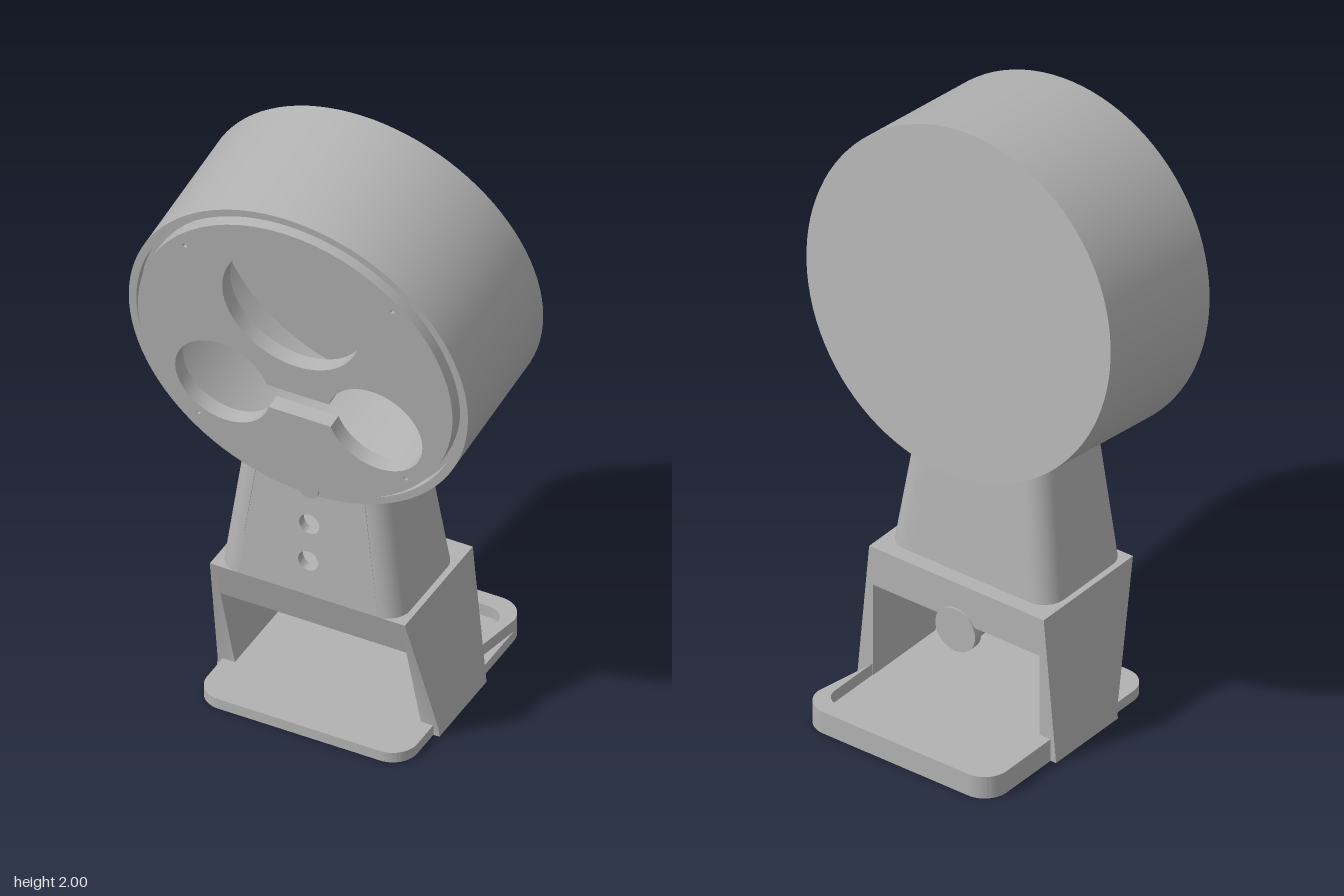
import * as THREE from 'three';
import { toCreasedNormals } from 'three/addons/utils/BufferGeometryUtils.js';

const grey = new THREE.MeshStandardMaterial({ color: 0xb2b2b2, side: THREE.DoubleSide });
grey.name = 'plain grey';

const TILT = 0.126, R = 0.555, DEPTH = 0.475;

function add(parent, name, geometry, x = 0, y = 0, z = 0) {
  const mesh = new THREE.Mesh(geometry, grey);
  mesh.name = name;
  mesh.position.set(x, y, z);
  parent.add(mesh);
  return mesh;
}

function extrude(shape, depth) {
  const g = new THREE.ExtrudeGeometry(shape, { depth, bevelEnabled: false, curveSegments: 32 });
  return toCreasedNormals(g, 0.5);
}

function circlePath(x, y, r) {
  return new THREE.Path().absarc(x, y, r, 0, Math.PI * 2, true);
}

// Move every vertex by a rule
function warp(g, rule) {
  const p = g.attributes.position, v = new THREE.Vector3();
  for (let i = 0; i < p.count; i++) {
    rule(v.fromBufferAttribute(p, i));
    p.setXYZ(i, v.x, v.y, v.z);
  }
  return toCreasedNormals(g, 0.5);
}

// Rounded rectangle drawn in x and -z
function roundedRect(hw, z0, z1, r) {
  const s = new THREE.Shape(), P = Math.PI;
  s.absarc(hw - r, -z0 - r, r, 0, P / 2);
  s.absarc(-hw + r, -z0 - r, r, P / 2, P);
  s.absarc(-hw + r, -z1 + r, r, P, P * 1.5);
  s.absarc(hw - r, -z1 + r, r, P * 1.5, P * 2);
  s.closePath();
  return s;
}

const flat = (shape, height) => extrude(shape, height).rotateX(-Math.PI / 2);

// Underside of the tilted drum above a point
function drumUnderside(x, z) {
  return 1.45 - 0.127 * (z + 0.13) - 0.559 * Math.sqrt(1 - (x / R) ** 2);
}

function buildHead() {
  const head = new THREE.Group();
  head.name = 'head';
  head.position.set(0, 1.45, -0.13);
  head.rotation.x = TILT;

  // Hollow drum with a ledge for the face plate
  const profile = [[0, 0], [R, 0], [R, DEPTH], [0.53, DEPTH], [0.53, DEPTH - 0.03],
    [0.5, DEPTH - 0.03], [0.5, 0.03], [0, 0.03]].map(p => new THREE.Vector2(...p));
  const drum = toCreasedNormals(new THREE.LatheGeometry(profile, 96), 0.5);
  add(head, 'drum', drum.rotateX(Math.PI / 2));

  // Face plate with a round opening, a dumbbell opening and screw holes
  const face = new THREE.Shape().absarc(0, 0, 0.515, 0, Math.PI * 2);
  face.holes.push(circlePath(0, 0.205, 0.225));
  const a = Math.asin(0.045 / 0.155), slot = new THREE.Path();
  slot.absarc(-0.25, -0.18, 0.155, a, Math.PI * 2 - a);
  slot.absarc(0.25, -0.18, 0.155, Math.PI + a, Math.PI * 3 - a);
  slot.closePath();
  face.holes.push(slot);
  for (const x of [-0.34, 0.34])
    for (const y of [-0.34, 0.335]) face.holes.push(circlePath(x, y, 0.007));
  add(head, 'facePlate', extrude(face, 0.05), 0, 0, DEPTH - 0.03);

  // Small port on the lower rim
  const port = new THREE.CylinderGeometry(0.033, 0.033, 0.008, 24).rotateX(Math.PI / 2);
  add(head, 'rimPort', port, 0, -0.532, DEPTH + 0.003);
  return head;
}

function buildNeck() {
  const neck = new THREE.Group();
  neck.name = 'neck';
  const r = 0.07, y0 = 0.48;
  const taper = y => {
    const t = (y - y0) / 0.42;
    return { hw: 0.3 - 0.055 * t, zf: 0.285 - 0.02 * t, zb: -0.09 + 0.04 * t };
  };

  // Section with rounded corners, open across the flat front
  const section = [];
  for (const [sx, front, start] of [[1, 1, 90], [1, 0, 0], [-1, 0, -90], [-1, 1, -180]])
    for (let i = 0; i <= 8; i++) {
      const a = (start - i * 11.25) * Math.PI / 180;
      section.push([sx, front, Math.cos(a) * r, Math.sin(a) * r]);
    }
  // Subdivide the long back edge so its top follows the drum
  const point = ([sx, front, dx, dz], y) => {
    const { hw, zf, zb } = taper(y);
    return [sx * (hw - r) + dx, y, (front ? zf - r : zb + r) + dz];
  };
  const back = section[17];
  const edge = [];
  for (let i = 1; i < 12; i++) edge.push([1 - i / 6, 0, back[2], back[3]]);
  section.splice(18, 0, ...edge);

  const pos = [], index = [];
  section.forEach((s, i) => {
    const top = point(s, 0.9);
    pos.push(...point(s, y0), ...point(s, drumUnderside(top[0], top[2]) + 0.012));
    if (i) {
      const k = i * 2;
      index.push(k - 2, k - 1, k, k, k - 1, k + 1);
    }
  });
  // Keep the outside as the front of each face
  for (let i = 0; i < index.length; i += 3) [index[i + 1], index[i + 2]] = [index[i + 2], index[i + 1]];
  const g = new THREE.BufferGeometry();
  g.setAttribute('position', new THREE.Float32BufferAttribute(pos, 3));
  g.setIndex(index);
  add(neck, 'neckShell', toCreasedNormals(g, 0.5));

  // Front panel with two round holes
  const panel = new THREE.Shape();
  panel.moveTo(-0.23, y0);
  panel.lineTo(0.23, y0);
  for (let i = 6; i >= -6; i--) {
    const x = 0.176 * i / 6;
    panel.lineTo(x, drumUnderside(x, 0.265) + 0.012);
  }
  panel.closePath();
  for (const y of [0.6, 0.73]) panel.holes.push(circlePath(0, y, 0.033));
  add(neck, 'neckFront', warp(extrude(panel, 0.03), v => { v.z += taper(v.y).zf - 0.03; }));
  return neck;
}

function buildBracket() {
  const bracket = new THREE.Group();
  bracket.name = 'bracket';
  // Side profile as [z, y] pairs, extruded across x
  const across = (pts, rule) => {
    const s = new THREE.Shape(pts.map(p => new THREE.Vector2(...p)));
    return warp(extrude(s, 1).rotateY(-Math.PI / 2), rule);
  };
  const leg = across([[-0.14, 0], [0.155, 0], [0.155, 0.03], [0.285, 0.48], [-0.14, 0.48]],
    v => { v.x = v.x < -0.5 ? -(0.365 - 0.094 * v.y) : -0.305; });
  add(bracket, 'rightLeg', leg);
  add(bracket, 'leftLeg', leg).scale.x = -1;
  add(bracket, 'crossBeam', across([[-0.14, 0.35], [0.247, 0.35], [0.285, 0.48], [-0.14, 0.48]],
    v => { v.x = v.x < -0.5 ? -0.305 : 0.305; }));

  // Knob on a short stem below the beam
  const round = (r, h) => new THREE.CylinderGeometry(r, r, h, 40).rotateX(Math.PI / 2);
  add(bracket, 'knobStem', round(0.058, 0.06), 0, 0.32, -0.09);
  add(bracket, 'knobDisc', round(0.073, 0.03), 0, 0.32, -0.131);
  return bracket;
}

function buildBase() {
  const base = new THREE.Group();
  base.name = 'base';
  // Outer frame around a floor that is recessed underneath
  const frame = roundedRect(0.345, -0.43, 0.335, 0.08);
  frame.holes.push(roundedRect(0.305, -0.39, 0.295, 0.05));
  add(base, 'baseFrame', flat(frame, 0.035));
  add(base, 'baseFloor', flat(roundedRect(0.305, -0.39, 0.295, 0.05), 0.023), 0, 0.012, 0);

  // Raised U-shaped rim at the back
  const rim = new THREE.Shape(), P = Math.PI;
  rim.moveTo(0.345, 0.14);
  rim.absarc(0.265, 0.35, 0.08, 0, P / 2);
  rim.absarc(-0.265, 0.35, 0.08, P / 2, P);
  rim.lineTo(-0.345, 0.14);
  rim.lineTo(-0.307, 0.14);
  rim.absarc(-0.252, 0.32, 0.055, P, P / 2, true);
  rim.absarc(0.252, 0.32, 0.055, P / 2, 0, true);
  rim.lineTo(0.307, 0.14);
  rim.closePath();
  add(base, 'backRim', flat(rim, 0.04), 0, 0.035, 0);

  // Four round feet
  const foot = new THREE.CylinderGeometry(0.065, 0.065, 0.012, 32);
  for (const x of [-0.215, 0.215])
    for (const z of [-0.3, 0.205]) add(base, 'foot', foot, x, 0.006, z);
  return base;
}

export function createModel() {
  const model = new THREE.Group();
  model.name = 'lookoutStand';
  model.add(buildHead(), buildNeck(), buildBracket(), buildBase());
  return model;
}
